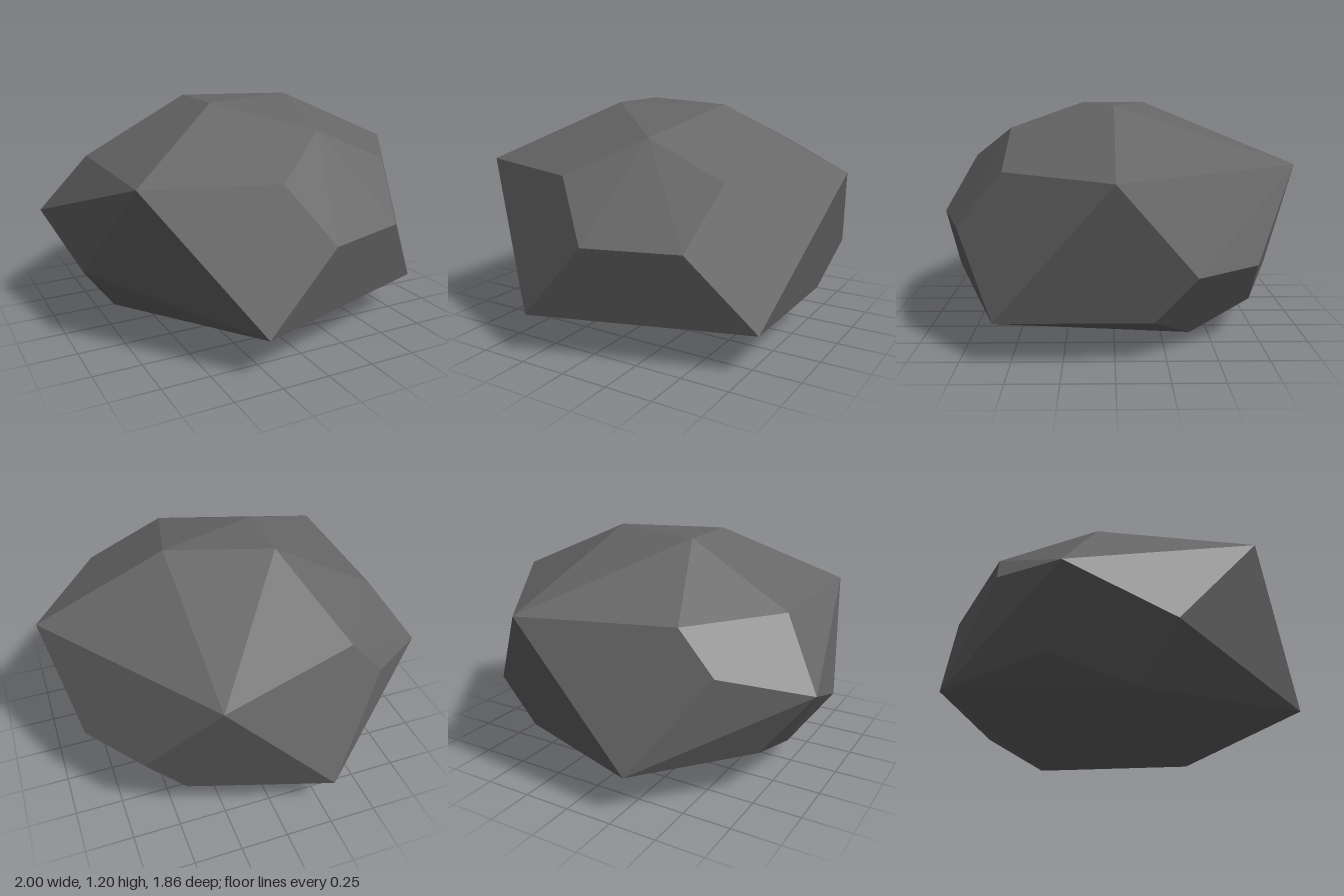
import * as THREE from 'three';
import { ConvexGeometry } from 'three/addons/geometries/ConvexGeometry.js';

export function createModel() {
  const group = new THREE.Group();
  group.name = 'rock';
  const stone = new THREE.MeshStandardMaterial({ color: 0x666666 });
  stone.name = 'stone grey';

  // Ideal corners of a squashed twenty-sided stone
  const ring = (degrees, y) => {
    const a = THREE.MathUtils.degToRad(degrees);
    return new THREE.Vector3(0.02 + 0.98 * Math.cos(a), y, 0.98 * Math.sin(a));
  };
  const [upper0, upper72, upper144, upper216, upper288] = [0, 72, 144, 216, 288].map((d) => ring(d, 0.9));
  const [lower36, lower108, lower180, lower252, lower324] = [36, 108, 180, 252, 324].map((d) => ring(d, 0.215));
  const top = new THREE.Vector3(0.02, 1.33, 0);
  const lowTip = new THREE.Vector3(0.02, -0.21, 0);

  // Chip a corner off: one new point along each edge leaving it
  const chip = (corner, amount, ...ends) => ends.map((end) => corner.clone().lerp(end, amount));

  const points = [
    upper0, upper144, upper288, lower36, lower108, lower252,
    new THREE.Vector3(0.02, 0, 0), // flattened underside
    ...chip(top, 0.306, upper0, upper144, upper216),
    ...chip(upper72, 0.42, top, upper0, upper144, lower36, lower108),
    ...chip(lower324, 0.34, upper0, upper288, lower36, lower252, lowTip),
    ...chip(upper216, 0.31, upper144, upper288, lower252),
    ...chip(lower180, 0.24, upper144, lowTip),
    new THREE.Vector3(-1, 0.58, -0.4), // bulge on the side
    new THREE.Vector3(-0.75, 0.25, -0.45),
  ];

  const body = new THREE.Mesh(new ConvexGeometry(points), stone);
  body.name = 'stoneBody';
  group.add(body);
  return group;
}
